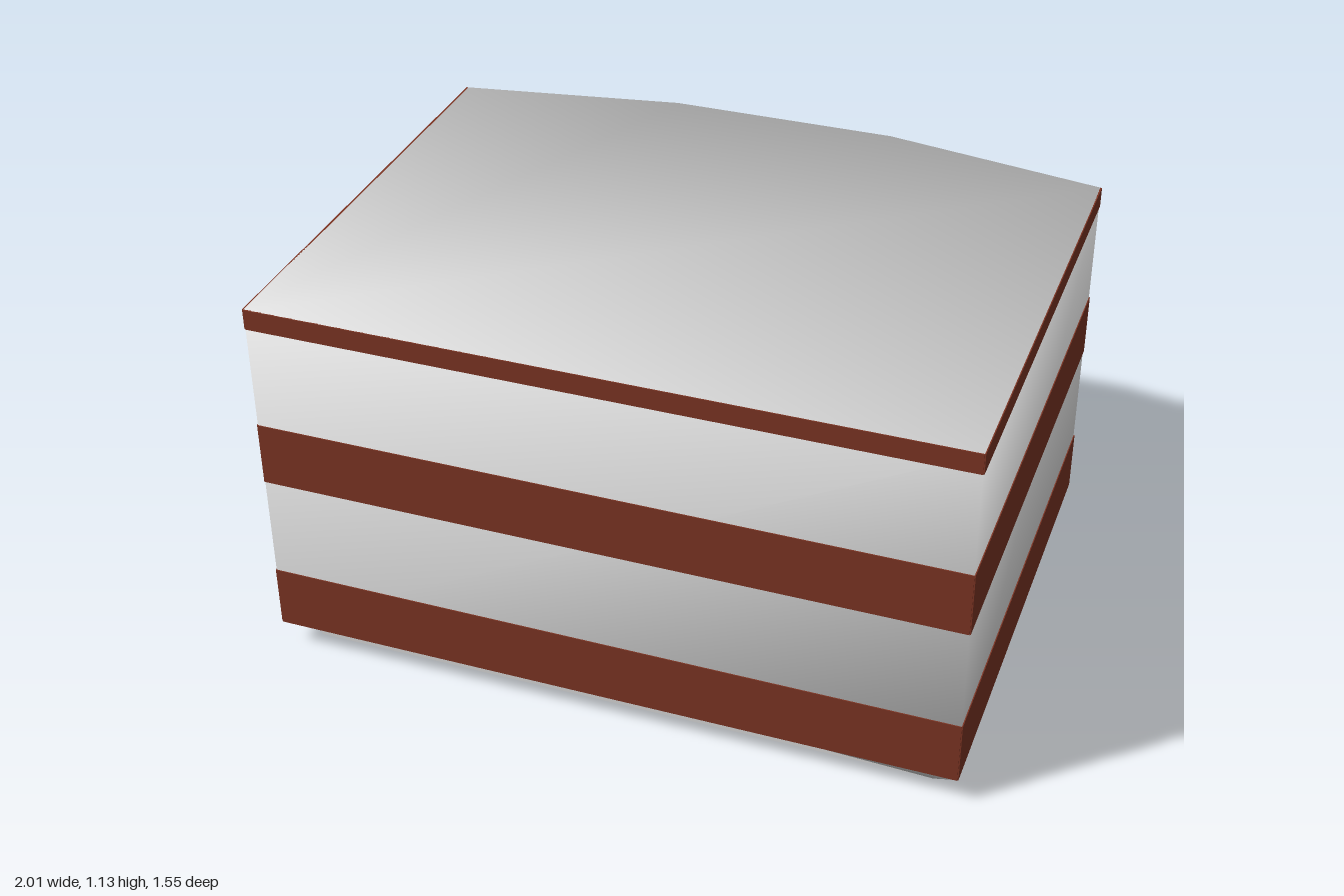
import * as THREE from 'three';

const H = 1.13; // overall height
// plan outlines [x, z], counterclockwise seen from above
const PLAN = [[-1, 0.77], [1, 0.77], [1, -0.66], [0.34, -0.775], [-0.34, -0.775], [-1, -0.66]];
const FLOOR = [[-0.92, 0.7], [0.92, 0.7], [0.92, -0.67], [0.34, -0.775], [-0.34, -0.775], [-0.92, -0.67]];

const makeMaterial = (name, color, side = THREE.FrontSide) => {
  const m = new THREE.MeshStandardMaterial({ color, side });
  m.name = name;
  return m;
};

// smooth shell: floor ring, bevel ring and top ring joined in loops
function shellGeometry() {
  const n = PLAN.length;
  const pos = [];
  FLOOR.forEach(([x, z], i) => pos.push(x, i === 0 ? 0.07 : 0, z)); // one floor corner is raised
  for (const y of [0.08, H]) PLAN.forEach(([x, z]) => pos.push(x, y, z));
  const index = [];
  for (let r = 0; r < 2; r++) {
    for (let i = 0; i < n; i++) {
      const a = r * n + i, b = r * n + (i + 1) % n;
      index.push(a, b, b + n, a, b + n, a + n);
    }
  }
  for (let i = 1; i < n - 1; i++) {
    index.push(2 * n, 2 * n + i, 2 * n + i + 1); // top
    index.push(0, i + 1, i); // floor
  }
  const g = new THREE.BufferGeometry();
  g.setAttribute('position', new THREE.Float32BufferAttribute(pos, 3));
  g.setIndex(index);
  g.computeVertexNormals();
  return g;
}

function triangleGeometry(points) {
  const g = new THREE.BufferGeometry();
  g.setAttribute('position', new THREE.Float32BufferAttribute(points.flat(), 3));
  g.computeVertexNormals();
  return g;
}

export function createModel() {
  const group = new THREE.Group();
  group.name = 'stripedBlock';
  const grey = makeMaterial('lightGrey', 0xdadada, THREE.DoubleSide);
  const red = makeMaterial('brickRed', 0x7d3524);
  const black = makeMaterial('black', 0x1c1c1c);
  const gold = makeMaterial('gold', 0xb8982e);

  const add = (name, geometry, material) => {
    const mesh = new THREE.Mesh(geometry, material);
    mesh.name = name;
    group.add(mesh);
    return mesh;
  };
  const addBox = (name, size, at, material) =>
    add(name, new THREE.BoxGeometry(...size), material).position.set(...at);

  add('body', shellGeometry(), grey);

  // wedge walls closing the gap under the raised floor corner
  const raised = [-0.92, 0.07, 0.7], foot = [-0.92, 0, 0.7];
  add('frontSkirt', triangleGeometry([raised, foot, [0.92, 0, 0.7]]), grey);
  add('sideSkirt', triangleGeometry([raised, [-0.92, 0, -0.67], foot]), grey);

  // horizontal bands across the front and both sides
  for (const [y0, y1] of [[0.08, 0.267], [0.575, 0.763], [1.07, H]]) {
    const h = y1 - y0, y = (y0 + y1) / 2;
    addBox('frontStripe', [2, h, 0.006], [0, y, 0.77], red);
    for (const s of [-1, 1]) addBox('sideStripe', [0.006, h, 1.43], [s, y, 0.055], red);
  }

  // thin upright strips on the back corners
  for (const s of [-1, 1]) {
    addBox('backBlackStrip', [0.016, H - 0.005, 0.009], [s * 0.34, H / 2, -0.774], black);
    const low = s > 0 ? 0.02 : 0.16;
    addBox('backGoldStrip', [0.014, 1.12 - low, 0.009], [s * 0.39, (1.12 + low) / 2, -0.766], gold);
  }
  return group;
}
